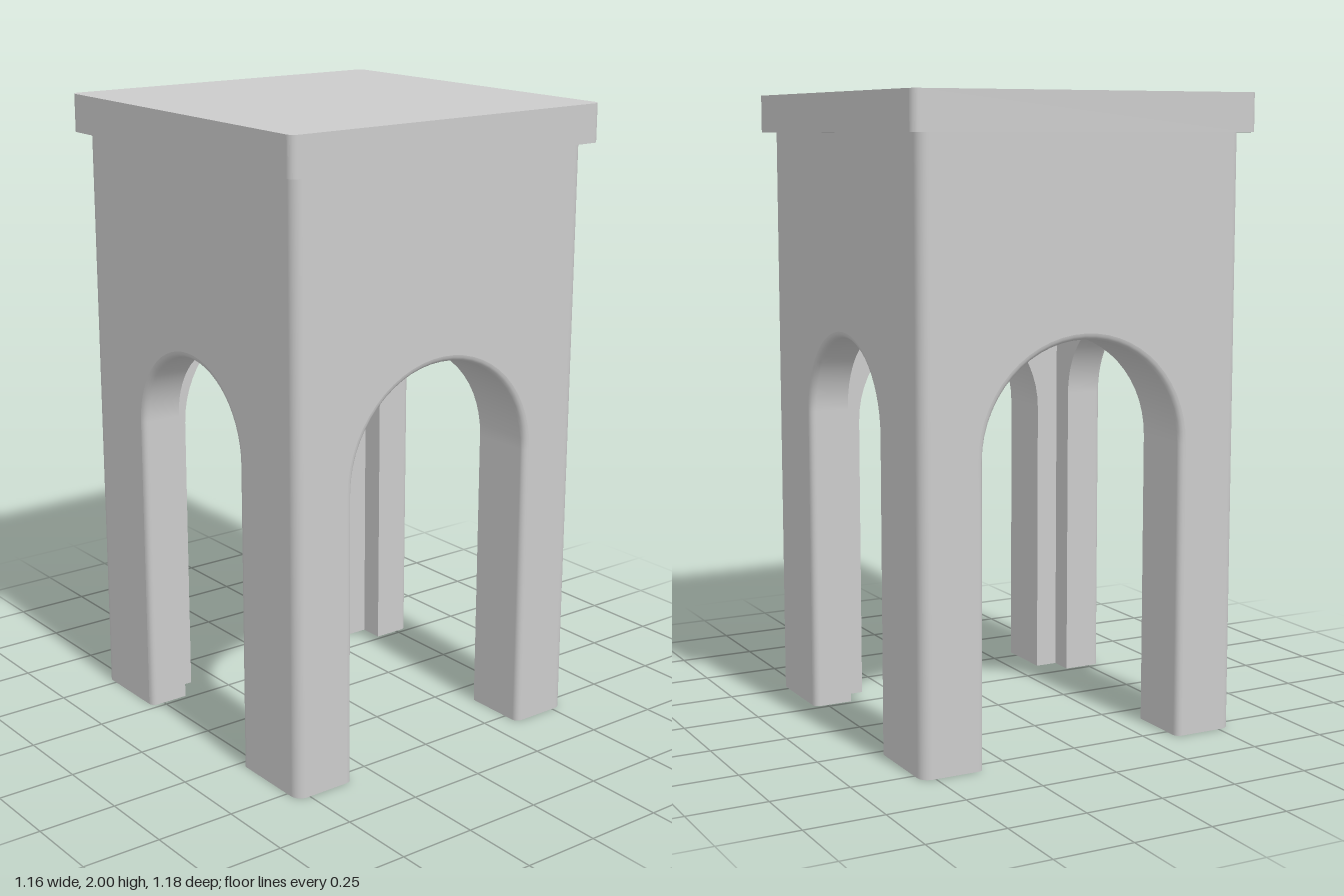
import * as THREE from 'three';

const grey = new THREE.MeshStandardMaterial({ color: 0xcccccc, side: THREE.DoubleSide });
const HX = 0.545, HZ = 0.555;      // outer half sizes of the body
const IX = 0.415, IZ = 0.345;      // half sizes of the inner room
const BODY_TOP = 1.88, CEILING = 1.52;
const CORNER = 0.035, EDGE = 0.02; // rounding of body corners and arch edges

function addMesh(parent, name, geometry) {
  const mesh = new THREE.Mesh(geometry, grey);
  mesh.name = name;
  parent.add(mesh);
  return mesh;
}

// Arch outline from the left foot over the crown to the right foot
function archPoints(radius, spring) {
  const pts = [new THREE.Vector2(-radius, 0)];
  for (let i = 0; i <= 28; i++) {
    const a = Math.PI * (1 - i / 28);
    pts.push(new THREE.Vector2(radius * Math.cos(a), spring + radius * Math.sin(a)));
  }
  pts.push(new THREE.Vector2(radius, 0));
  return pts;
}

// Flat wall standing on the ground with an arch cut from its lower edge
function wallGeometry(half, height, radius, spring) {
  return new THREE.ShapeGeometry(new THREE.Shape([
    new THREE.Vector2(half, 0), new THREE.Vector2(half, height),
    new THREE.Vector2(-half, height), new THREE.Vector2(-half, 0),
    ...archPoints(radius, spring),
  ]));
}

// Arch lining: rounded front edge, then straight back through the wall
function liningGeometry(radius, spring, front, back) {
  const rows = [];
  for (let i = 0; i <= 4; i++) {
    const a = (i / 4) * Math.PI / 2;
    rows.push([radius + EDGE * (1 - Math.sin(a)), front - EDGE * (1 - Math.cos(a))]);
  }
  rows.push([radius, back]);
  const pos = [], index = [];
  let n = 0;
  rows.forEach(([r, z]) => {
    const pts = archPoints(r, spring);
    n = pts.length;
    pts.forEach((p) => pos.push(p.x, p.y, z));
  });
  for (let j = 0; j < rows.length - 1; j++) {
    for (let i = 0; i < n - 1; i++) {
      const a = j * n + i, b = a + n;
      index.push(a, b, a + 1, a + 1, b, b + 1);
    }
  }
  const g = new THREE.BufferGeometry();
  g.setAttribute('position', new THREE.Float32BufferAttribute(pos, 3));
  g.setIndex(index);
  g.computeVertexNormals();
  return g;
}

// One side of the body: outer wall, arch lining and inner wall, facing +z
function createSide({ half, dist, inHalf, inDist, radius, spring }) {
  const side = new THREE.Group();
  addMesh(side, 'outerWall', wallGeometry(half - CORNER, BODY_TOP, radius + EDGE, spring))
    .position.z = dist;
  addMesh(side, 'archLining', liningGeometry(radius, spring, dist, inDist));
  const inner = addMesh(side, 'innerWall', wallGeometry(inHalf, CEILING, radius, spring));
  inner.position.z = inDist;
  inner.rotation.y = Math.PI;
  return side;
}

function roundedRect(hx, hy, r) {
  const s = new THREE.Shape();
  s.moveTo(-hx + r, -hy);
  s.absarc(hx - r, -hy + r, r, -Math.PI / 2, 0);
  s.absarc(hx - r, hy - r, r, 0, Math.PI / 2);
  s.absarc(-hx + r, hy - r, r, Math.PI / 2, Math.PI);
  s.absarc(-hx + r, -hy + r, r, Math.PI, Math.PI * 1.5);
  s.closePath();
  return s;
}

export function createModel() {
  const model = new THREE.Group();
  model.name = 'archedTower';

  // Wide arches front and back, narrower arches on the two sides
  const wide = { half: HX, dist: HZ, inHalf: IX, inDist: IZ, radius: 0.34, spring: 0.93 };
  const narrow = { half: HZ, dist: HX, inHalf: IZ, inDist: IX, radius: 0.265, spring: 0.985 };
  ['frontSide', 'leftSide', 'backSide', 'rightSide'].forEach((name, k) => {
    const side = createSide(k % 2 ? narrow : wide);
    side.name = name;
    side.rotation.y = k * Math.PI / 2;
    model.add(side);

    // Rounded vertical corner next to this side
    const start = k * Math.PI / 2, mid = start + Math.PI / 4;
    addMesh(model, 'bodyCorner',
      new THREE.CylinderGeometry(CORNER, CORNER, BODY_TOP, 6, 1, true, start, Math.PI / 2))
      .position.set(Math.sign(Math.sin(mid)) * (HX - CORNER), BODY_TOP / 2,
        Math.sign(Math.cos(mid)) * (HZ - CORNER));
  });

  // Ceiling of the inner room
  const ceiling = addMesh(model, 'ceiling', new THREE.PlaneGeometry(IX * 2, IZ * 2));
  ceiling.rotation.x = Math.PI / 2;
  ceiling.position.y = CEILING;

  // Overhanging slab on top
  const slab = addMesh(model, 'topSlab', new THREE.ExtrudeGeometry(
    roundedRect(0.58, 0.59, 0.025), { depth: 2 - BODY_TOP, bevelEnabled: false, curveSegments: 6 }));
  slab.rotation.x = -Math.PI / 2;
  slab.position.y = BODY_TOP;

  return model;
}
